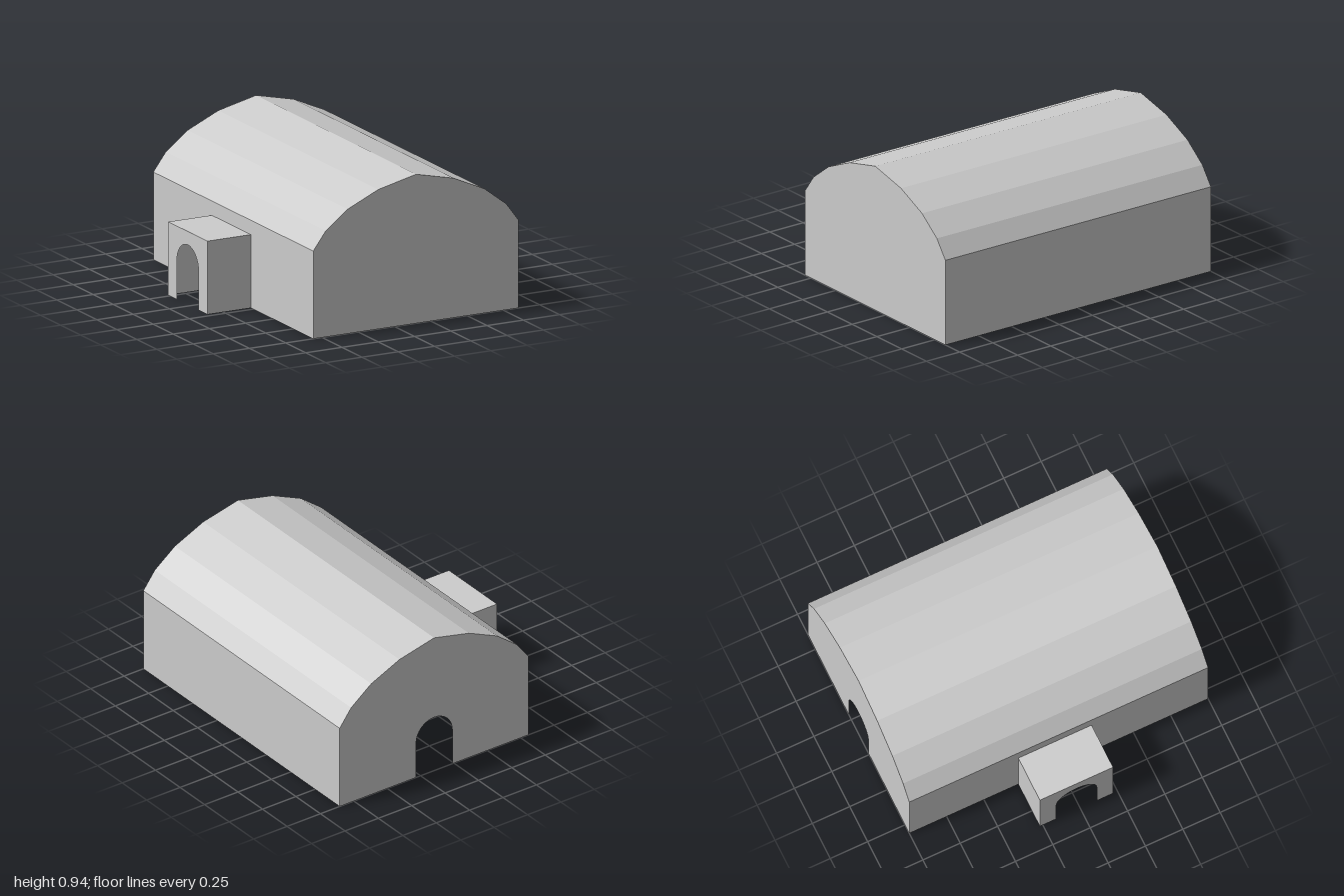
import * as THREE from 'three';

const CX = 0.148, HALF = 0.708, EAVE = 0.55;          // hall centre, half width, eave height
const PORCH = { x0: -0.86, x1: CX - HALF, z0: -0.27, z1: 0.22, h: 0.46 };
const DOOR = { r: 0.136, spring: 0.24 };

// Roof cross-section, left to right about the hall centre
const half = [[0.708, EAVE], [0.622, 0.665], [0.472, 0.78], [0.26, 0.875]];
const roofLine = [
  ...half.map(([x, y]) => [-x, y]), [0, 0.935], ...[...half].reverse(),
];

// Bottom edge of a wall from -w to w with an arched doorway cut up from the ground
function baseWithDoor(shape, w) {
  shape.moveTo(-w, 0);
  shape.lineTo(-DOOR.r, 0);
  shape.lineTo(-DOOR.r, DOOR.spring);
  shape.absarc(0, DOOR.spring, DOOR.r, Math.PI, 0, true);
  shape.lineTo(DOOR.r, 0);
  shape.lineTo(w, 0);
}

function gableShape(withDoor) {
  const s = new THREE.Shape();
  if (withDoor) baseWithDoor(s, HALF);
  else { s.moveTo(-HALF, 0); s.lineTo(HALF, 0); }
  [...roofLine].reverse().forEach(([x, y]) => s.lineTo(x, y));
  return s;
}

function polygon(points) {
  return new THREE.Shape(points.map(([x, y]) => new THREE.Vector2(x, y)));
}

// Folded roof sheet swept along z from the cross-section
function roofGeometry() {
  const pos = [];
  for (let i = 0; i < roofLine.length - 1; i++) {
    const [ax, ay] = roofLine[i], [bx, by] = roofLine[i + 1];
    pos.push(ax, ay, 1, bx, by, 1, bx, by, -1, ax, ay, 1, bx, by, -1, ax, ay, -1);
  }
  const g = new THREE.BufferGeometry();
  g.setAttribute('position', new THREE.Float32BufferAttribute(pos, 3));
  g.computeVertexNormals();
  return g;
}

export function createModel() {
  const model = new THREE.Group();
  model.name = 'vaultedHall';
  const plaster = new THREE.MeshStandardMaterial({ color: 0xcccccc, side: THREE.DoubleSide });
  plaster.name = 'plainGrey';

  const add = (parent, name, geometry, x, y, z, turn = 0) => {
    const mesh = new THREE.Mesh(geometry, plaster);
    mesh.name = name;
    mesh.position.set(x, y, z);
    mesh.rotation.y = turn;
    parent.add(mesh);
  };
  const flat = (shape) => new THREE.ShapeGeometry(shape, 8);

  // Hall: thin shell, open underneath
  const hall = new THREE.Group();
  hall.name = 'hall';
  add(hall, 'roof', roofGeometry(), CX, 0, 0);
  add(hall, 'frontWall', flat(gableShape(false)), CX, 0, 1);
  add(hall, 'backWall', flat(gableShape(true)), CX, 0, -1, Math.PI);
  add(hall, 'leftWall', new THREE.PlaneGeometry(2, EAVE), CX + HALF, EAVE / 2, 0, Math.PI / 2);

  // Right wall opens fully into the porch
  const { x0, x1, z0, z1, h } = PORCH;
  add(hall, 'rightWall', flat(polygon([
    [-1, 0], [z0, 0], [z0, h], [z1, h], [z1, 0], [1, 0], [1, EAVE], [-1, EAVE],
  ])), x1, 0, 0, -Math.PI / 2);

  // Porch with an arched entrance
  const porch = new THREE.Group();
  porch.name = 'porch';
  const depth = x1 - x0, width = z1 - z0, px = (x0 + x1) / 2, pz = (z0 + z1) / 2;
  const entrance = new THREE.Shape();
  baseWithDoor(entrance, width / 2);
  entrance.lineTo(width / 2, h);
  entrance.lineTo(-width / 2, h);
  add(porch, 'entranceWall', flat(entrance), x0, 0, pz, -Math.PI / 2);
  add(porch, 'porchFrontWall', new THREE.PlaneGeometry(depth, h), px, h / 2, z1);
  add(porch, 'porchBackWall', new THREE.PlaneGeometry(depth, h), px, h / 2, z0, Math.PI);
  add(porch, 'porchRoof', new THREE.PlaneGeometry(depth, width).rotateX(-Math.PI / 2), px, h, pz);

  model.add(hall, porch);
  return model;
}
